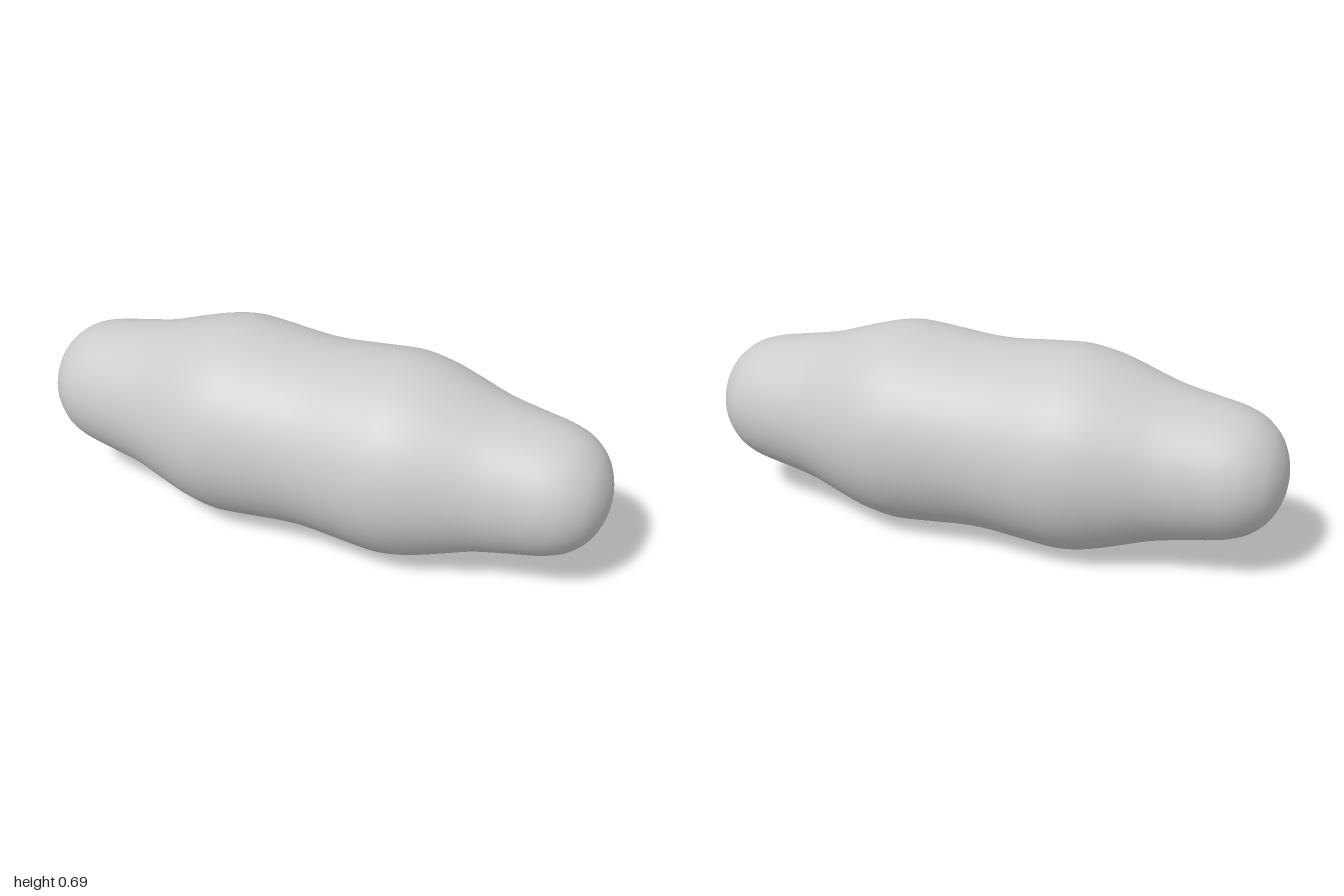
import * as THREE from 'three';

export function createModel() {
  const group = new THREE.Group();
  group.name = 'lumpyCapsule';

  // Half profile as [radius, distance from the middle], from tip to waist
  const half = [
    [0, 1], [0.05, 0.994], [0.1, 0.978], [0.147, 0.95], [0.19, 0.9], [0.212, 0.85],
    [0.225, 0.8], [0.243, 0.7], [0.264, 0.6], [0.297, 0.5], [0.328, 0.4],
    [0.342, 0.32], [0.343, 0.26], [0.334, 0.15], [0.326, 0.06],
  ];
  const profile = [
    ...half.map(([r, d]) => new THREE.Vector2(r, -d)),
    new THREE.Vector2(0.324, 0),
    ...half.slice().reverse().map(([r, d]) => new THREE.Vector2(r, d)),
  ];
  const points = new THREE.SplineCurve(profile).getPoints(90);
  points.forEach((p) => { p.x = Math.max(0, p.x); });

  // Round body with two swellings and blunt ends, lying along x
  const geometry = new THREE.LatheGeometry(points, 36);
  geometry.rotateZ(-Math.PI / 2);
  geometry.translate(0, 0.345, 0);
  const body = new THREE.Mesh(geometry, new THREE.MeshStandardMaterial({ color: 0xcccccc }));
  body.name = 'body';
  group.add(body);
  return group;
}
